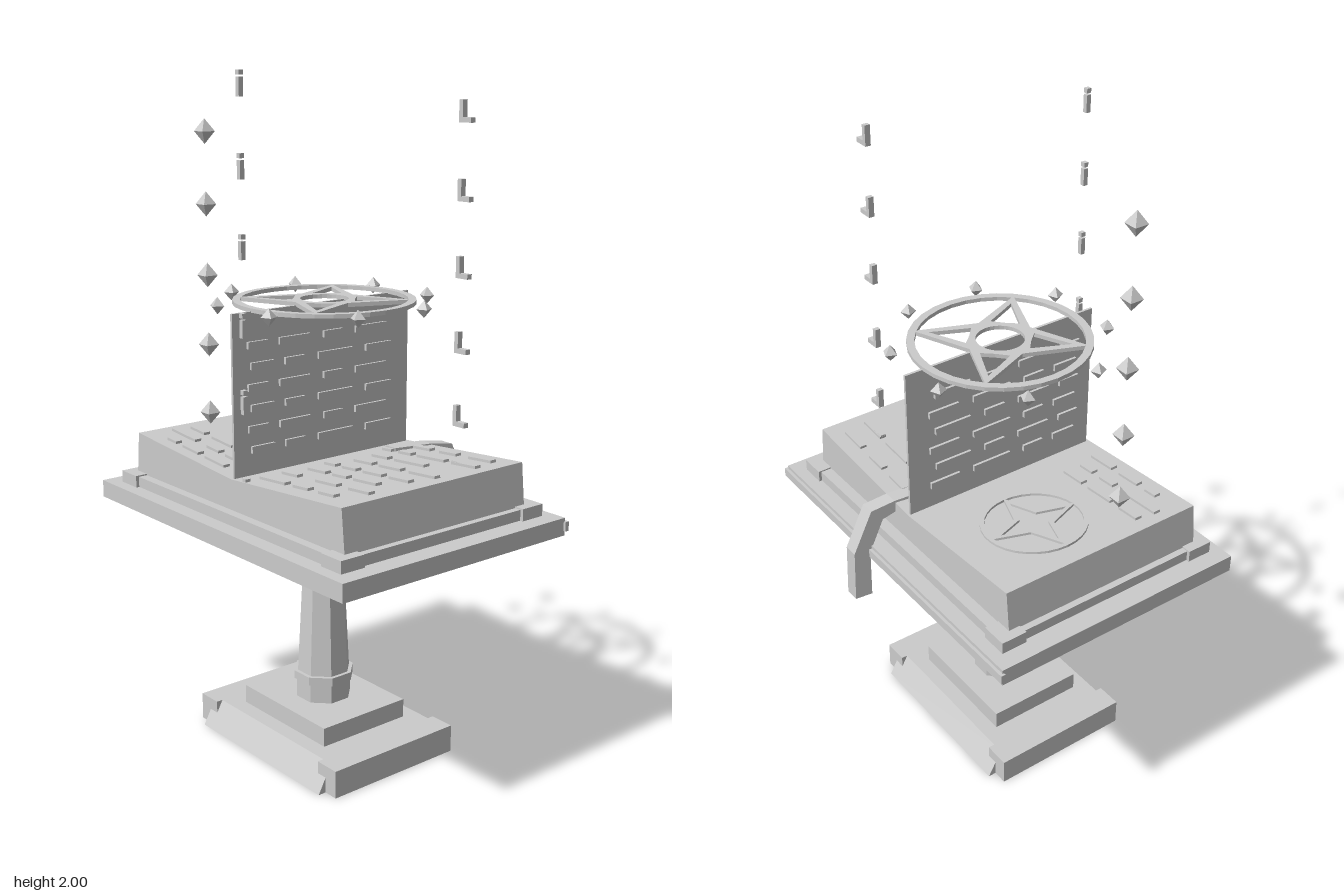
import * as THREE from 'three';

const stone = new THREE.MeshStandardMaterial({ color: 0xcccccc });
stone.name = 'stone grey';
stone.flatShading = true;

const CZ = 0.035; // depth of the pedestal axis
const SLOPE = 0.075;
const pageY = (x) => 0.885 + SLOPE * Math.abs(x);

export function createModel() {
  const root = new THREE.Group();
  root.name = 'lecternWithOpenBook';

  const add = (name, geometry, parent = root) => {
    const mesh = new THREE.Mesh(geometry, stone);
    mesh.name = name;
    parent.add(mesh);
    return mesh;
  };
  const group = (name) => {
    const g = new THREE.Group();
    g.name = name;
    root.add(g);
    return g;
  };
  // box given by its limits on each axis
  const box = (name, x0, x1, y0, y1, z0, z1, parent = root) => {
    const mesh = add(name, new THREE.BoxGeometry(x1 - x0, y1 - y0, z1 - z0), parent);
    mesh.position.set((x0 + x1) / 2, (y0 + y1) / 2, (z0 + z1) / 2);
    return mesh;
  };
  const shapeOf = (points) => new THREE.Shape(points.map(([x, y]) => new THREE.Vector2(x, y)));
  const extrude = (shape, depth) =>
    new THREE.ExtrudeGeometry(shape, { depth, bevelEnabled: false, curveSegments: 16 });
  // profile in (z, y) swept along x, centred
  const sweepX = (points, width) =>
    extrude(shapeOf(points.map(([z, y]) => [-z, y])), width).translate(0, 0, -width / 2).rotateY(Math.PI / 2);

  // stepped base: solid ends with a sloped middle
  const base = group('base');
  for (const s of [-1, 1]) {
    const [a, b] = s < 0 ? [-0.33, -0.25] : [0.25, 0.33];
    box('baseEnd', a, b, 0, 0.083, -0.19, 0.26, base);
  }
  add('baseMiddle', sweepX([[-0.215, 0], [0.285, 0], [0.24, 0.083], [-0.17, 0.083]], 0.57), base);
  box('baseStep', -0.193, 0.193, 0.083, 0.14, CZ - 0.155, CZ + 0.155, base);

  // octagonal column, sized by its half width across flats: [y0, y1, bottom, top]
  const column = group('column');
  const drums = [
    ['columnFoot', 0.14, 0.2, 0.078, 0.078],
    ['lowerRing', 0.2, 0.225, 0.086, 0.086],
    ['shaft', 0.225, 0.54, 0.075, 0.06],
    ['upperRing', 0.535, 0.567, 0.078, 0.078],
    ['columnHead', 0.567, 0.64, 0.067, 0.067],
  ];
  for (const [name, y0, y1, r0, r1] of drums) {
    const k = 1 / Math.cos(Math.PI / 8);
    const geo = new THREE.CylinderGeometry(r1 * k, r0 * k, y1 - y0, 8, 1, false, Math.PI / 8);
    add(name, geo, column).position.set(0, (y0 + y1) / 2, CZ);
  }

  // flared support under the desk
  const flare = new THREE.CylinderGeometry(Math.SQRT2, 0.4 * Math.SQRT2, 0.09, 4, 1, false, Math.PI / 4);
  flare.scale(0.24, 1, 0.195);
  add('deskSupport', flare).position.set(0, 0.668, CZ);

  // side struts
  for (const s of [-1, 1]) {
    const pts = [[0.05, 0.515], [0.085, 0.515], [0.23, 0.565], [0.465, 0.68], [0.475, 0.71], [0.41, 0.71], [0.22, 0.615], [0.05, 0.555]];
    const strut = shapeOf(pts.map(([x, y]) => [s * x, y]));
    add('strut', extrude(strut, 0.05)).position.z = CZ - 0.025;
  }

  // desk slab and book cover
  box('desk', -0.578, 0.578, 0.71, 0.763, -0.38, 0.443);
  box('deskBackTrim', -0.585, 0.585, 0.724, 0.752, -0.389, -0.375);
  box('cover', -0.515, 0.515, 0.763, 0.795, -0.333, 0.395);
  for (const x of [-0.525, 0.445]) for (const z of [-0.342, 0.325]) {
    box('coverCorner', x, x + 0.08, 0.763, 0.799, z, z + 0.08);
  }

  // block of pages, dipping to the spine
  const block = shapeOf([[-0.495, 0.79], [0.495, 0.79], [0.482, pageY(0.482)], [0, pageY(0)], [-0.482, pageY(0.482)]]);
  add('pageBlock', extrude(block, 0.665)).position.z = -0.298;

  // upright page with raised lines on both sides
  const page = group('uprightPage');
  box('page', -0.004, 0.004, 0.87, 1.353, -0.29, 0.358, page);
  const pageLines = [
    [[-0.22, -0.12], [-0.07, 0.06], [0.11, 0.18], [0.22, 0.3]],
    [[-0.2, -0.08], [-0.03, 0.04], [0.09, 0.2], [0.24, 0.31]],
  ];
  for (let i = 0; i < 6; i++) for (const [z0, z1] of pageLines[i % 2]) {
    const y = 0.96 + i * 0.06;
    box('pageLine', -0.012, 0.012, y - 0.01, y + 0.01, z0, z1, page);
  }

  // raised lines on the lying pages: depth, then start and end of each line
  const lines = group('textLines');
  const rows = [
    [-0.24, [0.1, 0.175], [0.215, 0.285], [0.335, 0.425]],
    [-0.163, [0.05, 0.09], [0.12, 0.175], [0.2, 0.315], [0.345, 0.44]],
    [-0.085, [0.09, 0.16], [0.19, 0.315]],
    [-0.008, [0.1, 0.18], [0.21, 0.3], [0.335, 0.44]],
    [0.07, [0.06, 0.11], [0.14, 0.2], [0.23, 0.31], [0.34, 0.42]],
    [0.147, [0.08, 0.16], [0.19, 0.25], [0.28, 0.375]],
    [0.224, [0.06, 0.13], [0.21, 0.3], [0.35, 0.435]],
    [0.302, [0.06, 0.175], [0.21, 0.275], [0.32, 0.385]],
    [0.2, [-0.435, -0.36], [-0.32, -0.22], [-0.19, -0.105]],
    [0.26, [-0.445, -0.32], [-0.26, -0.2], [-0.165, -0.11]],
    [0.319, [-0.38, -0.335], [-0.3, -0.22], [-0.185, -0.09]],
  ];
  for (const [z, ...spans] of rows) for (const [a, b] of spans) {
    const y = pageY((a + b) / 2);
    const line = box('textLine', a, b, y - 0.008, y + 0.008, z - 0.011, z + 0.011, lines);
    line.rotation.z = Math.sign(a) * Math.atan(SLOPE);
  }

  // flat ring and four-pointed star emblems
  const star = (outer, inner, turn) => Array.from({ length: 8 }, (_, i) => {
    const r = i % 2 ? inner : outer, a = turn + (i * Math.PI) / 4;
    return [r * Math.cos(a), r * Math.sin(a)];
  });
  const circleHole = (r) => new THREE.Path().absarc(0, 0, r, 0, Math.PI * 2, true);
  const ring = (outer, inner, t) => {
    const s = new THREE.Shape().absarc(0, 0, outer, 0, Math.PI * 2, false);
    s.holes.push(circleHole(inner));
    return extrude(s, t).rotateX(-Math.PI / 2);
  };

  const pageEmblem = group('pageEmblem');
  add('emblemRing', ring(0.155, 0.142, 0.01), pageEmblem);
  const smallStar = shapeOf(star(0.148, 0.058, 0));
  smallStar.holes.push(shapeOf(star(0.115, 0.042, 0)));
  add('emblemStar', extrude(smallStar, 0.01).rotateX(-Math.PI / 2), pageEmblem);
  pageEmblem.position.set(-0.262, pageY(0.262) - 0.003, -0.04);
  pageEmblem.rotation.z = -Math.atan(SLOPE);

  const halo = group('floatingCircle');
  add('haloRing', ring(0.264, 0.241, 0.012), halo);
  add('haloHub', ring(0.086, 0.07, 0.012), halo);
  const bigStar = shapeOf(star(0.25, 0.105, Math.PI / 4));
  bigStar.holes.push(circleHole(0.072));
  for (let i = 0; i < 4; i++) {
    const a = Math.PI / 4 + (i * Math.PI) / 2;
    const at = (r, d) => [r * Math.cos(a + d), r * Math.sin(a + d)];
    bigStar.holes.push(shapeOf([at(0.205, 0), at(0.1, 0.44), at(0.088, 0), at(0.1, -0.44)]));
  }
  add('haloStar', extrude(bigStar, 0.012).rotateX(-Math.PI / 2), halo);
  halo.position.set(0, 1.35, 0.03);

  // gems around the circle
  const gem = (name, w, h, parent) => add(name, new THREE.OctahedronGeometry(1).rotateY(Math.PI / 4).scale(w, h, w), parent);
  for (let i = 0; i < 8; i++) {
    const a = Math.PI / 8 + (i * Math.PI) / 4;
    const g = gem('circleGem', 0.023, 0.025, halo);
    g.position.set(0.313 * Math.cos(a), 0.006, 0.313 * Math.sin(a));
    g.rotation.y = -a;
  }

  // three rising columns of floating shapes
  const gems = group('risingGems'), sticks = group('risingSticks'), hooks = group('risingHooks');
  for (let i = 0; i < 5; i++) {
    gem('risingGem', 0.031, 0.037, gems).position.set(-0.38, 0.975 + 0.2115 * i, 0.172);
    const y = 1.082 + 0.2125 * i;
    box('stick', 0.048, 0.062, y, y + 0.05, 0.351, 0.365, sticks);
    box('stickDot', 0.048, 0.062, y + 0.055, y + 0.068, 0.351, 0.365, sticks);
    const h = 1.024 + 0.2095 * i;
    box('hookStem', 0.345, 0.359, h, h + 0.06, -0.171, -0.154, hooks);
    box('hookFoot', 0.345, 0.39, h, h + 0.014, -0.171, -0.154, hooks);
  }
  box('fallenDot', 0.047, 0.063, 0.885, 0.898, 0.347, 0.363, sticks);
  box('fallenHook', 0.345, 0.39, 0.905, 0.922, -0.171, -0.154, hooks);

  // ribbon lying on the page and hanging over the back
  const ribbon = sweepX([
    [-0.165, 0.902], [-0.165, 0.88], [-0.3, 0.858], [-0.34, 0.845], [-0.385, 0.74], [-0.387, 0.583],
    [-0.44, 0.583], [-0.435, 0.75], [-0.375, 0.885], [-0.3, 0.897],
  ], 0.045);
  const p = ribbon.attributes.position;
  for (let i = 0; i < p.count; i++) p.setX(i, p.getX(i) + 0.072 - (p.getZ(i) + 0.165) * 0.12);
  ribbon.computeVertexNormals();
  add('ribbon', ribbon);

  return root;
}
